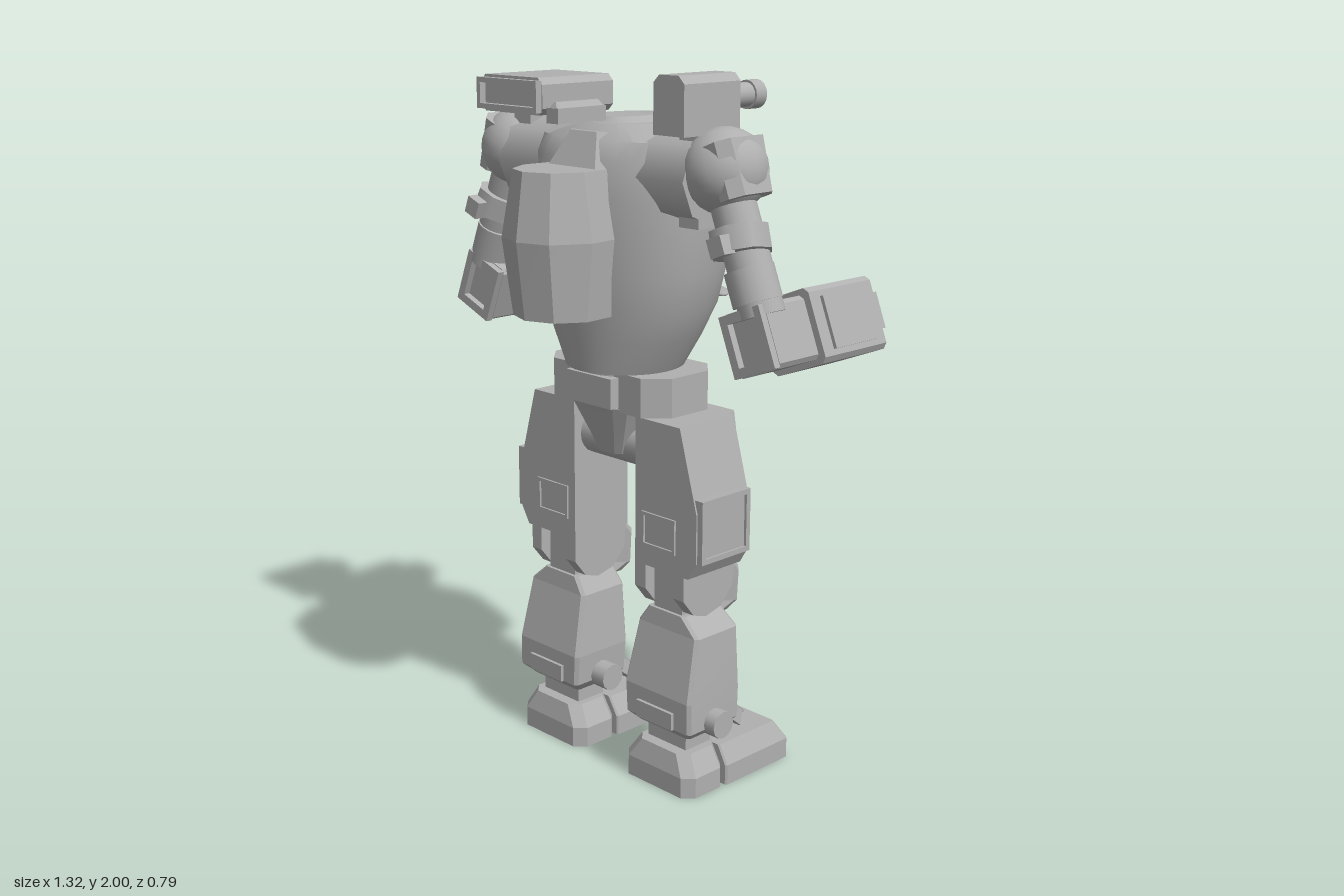
import * as THREE from 'three';
import { toCreasedNormals } from 'three/addons/utils/BufferGeometryUtils.js';

const armour = new THREE.MeshStandardMaterial({ color: 0xb0b0b0 });
armour.name = 'grey armour';

function add(parent, name, geometry, x = 0, y = 0, z = 0) {
  const mesh = new THREE.Mesh(geometry, armour);
  mesh.name = name;
  mesh.position.set(x, y, z);
  parent.add(mesh);
  return mesh;
}
function group(parent, name) {
  const g = new THREE.Group();
  g.name = name;
  parent.add(g);
  return g;
}

// Closed solid through horizontal rings (bottom to top, counterclockwise from above)
function loft(rings, crease = 0.1) {
  const p = [], n = rings[0].length;
  const tri = (a, b, c) => p.push(...a, ...b, ...c);
  for (let i = 0; i < rings.length - 1; i++) {
    for (let j = 0; j < n; j++) {
      const k = (j + 1) % n, lo = rings[i], hi = rings[i + 1];
      tri(lo[j], lo[k], hi[k]);
      tri(lo[j], hi[k], hi[j]);
    }
  }
  const bottom = rings[0], top = rings[rings.length - 1];
  for (let j = 1; j < n - 1; j++) {
    tri(bottom[0], bottom[j + 1], bottom[j]);
    tri(top[0], top[j], top[j + 1]);
  }
  const g = new THREE.BufferGeometry();
  g.setAttribute('position', new THREE.Float32BufferAttribute(p, 3));
  return toCreasedNormals(g, crease);
}
// Rectangular ring with cut corners
const rect = (y, x0, x1, z0, z1, c = 0.005) => [
  [x1, z1 - c], [x1, z0 + c], [x1 - c, z0], [x0 + c, z0],
  [x0, z0 + c], [x0, z1 - c], [x0 + c, z1], [x1 - c, z1],
].map(([x, z]) => [x, y, z]);
// Oval ring with separate front and back depth
const oval = (y, w, zf, zb, n = 40) => Array.from({ length: n }, (_, i) => {
  const a = (i / n) * Math.PI * 2, s = Math.sin(a);
  return [w * Math.cos(a), y, s > 0 ? zf * s : -zb * s];
});

// Profile in x,y extruded along z
function prismZ(points, z0, z1) {
  const shape = new THREE.Shape(points.map(([x, y]) => new THREE.Vector2(x, y)));
  return new THREE.ExtrudeGeometry(shape, { depth: z1 - z0, bevelEnabled: false }).translate(0, 0, z0);
}
// Profile in z,y extruded along x
const prismX = (points, x0, x1) => prismZ(points, 0, x1 - x0).rotateY(-Math.PI / 2).translate(x1, 0, 0);
const box = (w, h, d) => new THREE.BoxGeometry(w, h, d);
const cylX = (r, len, n = 20) => new THREE.CylinderGeometry(r, r, len, n).rotateZ(Math.PI / 2);
const cylZ = (r, len, n = 16) => new THREE.CylinderGeometry(r, r, len, n).rotateX(Math.PI / 2);
// Rectangular rim facing +z
function rim(w, h, t, depth) {
  const loop = (a, b) => [[-a, -b], [a, -b], [a, b], [-a, b]].map(([x, y]) => new THREE.Vector2(x, y));
  const shape = new THREE.Shape(loop(w / 2, h / 2));
  shape.holes.push(new THREE.Path(loop(w / 2 - t, h / 2 - t).reverse()));
  return new THREE.ExtrudeGeometry(shape, { depth, bevelEnabled: false });
}

// Copy of a group reflected across x = 0
function mirror(source, name) {
  const copy = source.clone(true);
  copy.name = name;
  copy.traverse((o) => {
    o.position.x *= -1;
    o.rotation.set(o.rotation.x, -o.rotation.y, -o.rotation.z);
    if (!o.isMesh) return;
    const src = o.geometry.index ? o.geometry.toNonIndexed() : o.geometry;
    const g = new THREE.BufferGeometry();
    for (const key of ['position', 'normal']) {
      const a = src.getAttribute(key), out = [];
      for (let i = 0; i < a.count; i += 3) {
        for (const k of [i, i + 2, i + 1]) out.push(-a.getX(k), a.getY(k), a.getZ(k));
      }
      g.setAttribute(key, new THREE.Float32BufferAttribute(out, 3));
    }
    o.geometry = g;
  });
  return copy;
}

function buildTorso(root) {
  const t = group(root, 'torso');
  add(t, 'hull', loft([
    oval(1.19, 0.165, -0.17, 0.165), oval(1.28, 0.215, -0.22, 0.18), oval(1.37, 0.257, -0.26, 0.19),
    oval(1.47, 0.278, -0.285, 0.2), oval(1.57, 0.29, -0.295, 0.2), oval(1.67, 0.297, -0.265, 0.2),
    oval(1.77, 0.295, -0.215, 0.185), oval(1.82, 0.28, -0.175, 0.16), oval(1.86, 0.16, -0.12, 0.11),
  ], 0.6));
  // Nose wedge, brow, top hatch and aerial
  add(t, 'nosePanel', loft([
    rect(1.31, -0.06, 0.06, -0.25, -0.1, 0.01), rect(1.42, -0.07, 0.07, -0.293, -0.1, 0.02),
    rect(1.57, -0.09, 0.09, -0.318, -0.1, 0.045), rect(1.76, -0.095, 0.095, -0.235, -0.1, 0.02),
  ]));
  add(t, 'brow', loft([rect(1.74, -0.1, 0.1, -0.24, -0.1), rect(1.785, -0.095, 0.095, -0.215, -0.1)]));
  add(t, 'topHatch', loft([oval(1.855, 0.12, -0.17, 0.1), oval(1.875, 0.075, -0.12, 0.08)], 0.4));
  add(t, 'aerial', box(0.045, 0.04, 0.17), 0, 1.885, 0.175);
  add(t, 'aerialRidge', loft([rect(1.9, -0.022, 0.022, 0.09, 0.26), rect(1.92, -0.008, 0.008, 0.1, 0.25)]));
  // Rear pack with a bulging middle
  const pack = (y, k, back) => [
    [0.14 * k, 0.15], [-0.14 * k, 0.15], [-0.15 * k, 0.26], [-0.095 * k, back - 0.03],
    [0, back], [0.095 * k, back - 0.03], [0.15 * k, 0.26],
  ].map(([x, z]) => [x, y, z]);
  add(t, 'backPack', loft([pack(1.36, 0.86, 0.365), pack(1.57, 1, 0.39), pack(1.75, 0.8, 0.365)]));
  add(t, 'packHatch', loft([rect(1.74, -0.115, 0.115, 0.1, 0.2, 0.02), rect(1.84, -0.07, 0.07, 0.08, 0.15, 0.02)]));
  // Cooling gills either side of the nose
  const gills = group(t, 'leftGills');
  [[1.55, 0.15], [1.465, 0.146], [1.38, 0.138]].forEach(([y, x]) => {
    add(gills, 'gill', new THREE.SphereGeometry(1, 16, 8).scale(0.068, 0.01, 0.028), x, y, -1.68 * x).rotation.y = -0.61;
  });
  t.add(mirror(gills, 'rightGills'));
}

function buildHips(root) {
  const h = group(root, 'hips');
  add(h, 'waist', new THREE.CylinderGeometry(0.14, 0.14, 0.06, 24), 0, 1.18, -0.01);
  add(h, 'belt', loft([rect(1.08, -0.235, 0.235, -0.15, 0.11, 0.06), rect(1.19, -0.235, 0.235, -0.15, 0.11, 0.06)]));
  for (const z of [0.115, -0.155]) add(h, 'buckle', box(0.18, 0.085, 0.05), 0, 1.135, z);
  add(h, 'pelvis', loft([
    rect(0.94, -0.045, 0.045, -0.11, 0.07, 0.015), rect(1.0, -0.07, 0.07, -0.16, 0.09, 0.02),
    rect(1.09, -0.11, 0.11, -0.18, 0.125, 0.03),
  ]));
  add(h, 'hipAxle', cylX(0.065, 0.3), 0, 0.965, -0.01);
}

function buildArm(root) {
  const side = group(root, 'leftArm');
  add(side, 'shoulderMount', cylX(0.125, 0.17, 8), 0.275, 1.735, 0.02);
  add(side, 'shoulderBlock', box(0.07, 0.25, 0.13), 0.325, 1.735, 0.02);
  const arm = group(side, 'hangingArm');
  arm.position.set(0.4, 1.76, 0.03);
  arm.rotation.z = 0.38;
  add(arm, 'shoulderBall', new THREE.SphereGeometry(0.112, 20, 14));
  add(arm, 'shoulderCap', loft([rect(-0.085, 0, 0.09, -0.08, 0.08, 0.03), rect(0.06, 0, 0.1, -0.09, 0.09, 0.03)]));
  add(arm, 'upperArm', new THREE.CylinderGeometry(0.06, 0.06, 0.36, 20), 0, -0.2, 0.005);
  add(arm, 'cuff', new THREE.CylinderGeometry(0.082, 0.082, 0.065, 8).rotateY(Math.PI / 8), 0, -0.185, 0.015).rotation.x = -0.15;
  add(arm, 'cuffKnob', box(0.05, 0.05, 0.04), 0.01, -0.19, 0.1);
  add(arm, 'lowerSleeve', new THREE.CylinderGeometry(0.066, 0.066, 0.09, 20), -0.005, -0.3, 0.005);
  // Forearm pointing forward
  const f = group(arm, 'forearm');
  f.position.set(-0.028, -0.436, -0.03);
  const section = (w, h, c) => [
    [-w, -h + c], [-w + c, -h], [w - c, -h], [w, -h + c], [w, h - c], [w - c, h], [-w + c, h], [-w, h - c],
  ];
  add(f, 'forearmHousing', prismZ(section(0.094, 0.1, 0.014), -0.33, -0.08));
  add(f, 'elbowHousing', prismZ(section(0.074, 0.085, 0.012), -0.08, 0.07));
  add(f, 'elbowRim', rim(0.145, 0.165, 0.025, 0.02), 0, 0, 0.07);
  add(f, 'sidePlate', box(0.016, 0.14, 0.17), 0.096, 0, -0.205);
  add(f, 'muzzleRim', rim(0.15, 0.16, 0.016, 0.012), 0, 0, -0.34);
  add(f, 'muzzleBlock', box(0.11, 0.08, 0.05), 0, 0, -0.35);
  for (const x of [-0.035, 0, 0.035]) add(f, 'muzzleFinger', box(0.026, 0.1, 0.06), x, 0.005, -0.37);
  root.add(mirror(side, 'rightArm'));
}

function buildLeg(root) {
  const leg = group(root, 'leftLeg');
  // Thigh
  add(leg, 'thigh', prismZ([[0.125, 0.65], [0.33, 0.65], [0.36, 0.7], [0.36, 0.84], [0.295, 1.07], [0.125, 1.07]], -0.13, 0.08));
  add(leg, 'thighFrontPlate', loft([
    rect(0.66, 0.15, 0.3, -0.165, -0.12, 0.015), rect(0.84, 0.15, 0.32, -0.165, -0.12, 0.015),
    rect(1.07, 0.15, 0.28, -0.165, -0.12, 0.015),
  ]));
  add(leg, 'thighSidePlate', box(0.02, 0.18, 0.19), 0.36, 0.79, -0.02);
  add(leg, 'thighSideRim', rim(0.19, 0.18, 0.015, 0.01).rotateY(Math.PI / 2), 0.368, 0.79, -0.02);
  add(leg, 'thighRearRim', rim(0.13, 0.1, 0.01, 0.006), 0.218, 0.757, 0.08);
  // Knee fork, joint and pad
  const fork = [[0.08, 0.66], [0.08, 0.58], [0.04, 0.53], [-0.01, 0.515], [-0.07, 0.53], [-0.115, 0.58], [-0.125, 0.66]];
  for (const [a, b] of [[0.125, 0.167], [0.275, 0.315]]) add(leg, 'kneeFork', prismX(fork, a, b));
  add(leg, 'kneeLink', box(0.108, 0.17, 0.13), 0.221, 0.555, -0.02);
  add(leg, 'kneePin', cylX(0.05, 0.17), 0.22, 0.585, -0.02);
  add(leg, 'kneePadArm', box(0.06, 0.07, 0.1), 0.22, 0.56, -0.11);
  add(leg, 'kneePad', loft([
    rect(0.48, 0.18, 0.26, -0.17, -0.11, 0.015), rect(0.51, 0.16, 0.28, -0.205, -0.13, 0.03),
    rect(0.6, 0.155, 0.285, -0.21, -0.14, 0.035), rect(0.635, 0.175, 0.265, -0.18, -0.14, 0.02),
  ]));
  // Shin
  add(leg, 'shin', loft([
    rect(0.17, 0.13, 0.33, -0.09, 0.07, 0.01), rect(0.2, 0.105, 0.36, -0.105, 0.1, 0.01),
    rect(0.29, 0.1, 0.36, -0.108, 0.1, 0.01), rect(0.47, 0.115, 0.348, -0.108, 0.06, 0.01),
    rect(0.52, 0.15, 0.29, -0.1, 0.055, 0.01),
  ]));
  add(leg, 'shinFrontRim', rim(0.16, 0.19, 0.016, 0.012), 0.23, 0.35, -0.118);
  add(leg, 'anklePin', cylX(0.04, 0.345, 12), 0.225, 0.215, 0);
  add(leg, 'heelGuard', box(0.14, 0.05, 0.02), 0.23, 0.225, 0.1);
  // Ankle and foot
  add(leg, 'ankle', box(0.15, 0.1, 0.1), 0.225, 0.15, 0);
  const flap = group(leg, 'toeGuard');
  flap.position.set(0.225, 0.168, -0.155);
  flap.rotation.x = -0.7;
  add(flap, 'guardPlate', loft([rect(-0.02, -0.08, 0.08, -0.06, 0.06, 0.02), rect(0.02, -0.07, 0.07, -0.05, 0.05, 0.02)]));
  add(flap, 'guardRim', rim(0.13, 0.09, 0.012, 0.008).rotateX(-Math.PI / 2), 0, 0.018, 0);
  add(flap, 'guardArm', box(0.06, 0.025, 0.1), 0, -0.005, 0.06);
  add(leg, 'toe', loft([
    rect(0, 0.085, 0.365, -0.315, -0.05), rect(0.06, 0.085, 0.365, -0.315, -0.05), rect(0.115, 0.12, 0.335, -0.285, -0.05),
  ]));
  add(leg, 'heel', loft([
    rect(0, 0.09, 0.36, -0.06, 0.1, 0.03), rect(0.06, 0.09, 0.36, -0.06, 0.1, 0.03), rect(0.12, 0.13, 0.325, -0.06, 0.085, 0.03),
  ]));
  root.add(mirror(leg, 'rightLeg'));
}

function buildShoulderWeapons(root) {
  // Wide launcher on the right shoulder
  const l = group(root, 'launcher');
  const c = 0.018, w = 0.128, h = 0.05;
  add(l, 'launcherCase', prismZ([
    [-w, -h + c], [-w + c, -h], [w - c, -h], [w, -h + c], [w, h - c], [w - c, h], [-w + c, h], [-w, h - c],
  ], -0.09, 0.17), -0.27, 1.92, 0);
  add(l, 'launcherRim', rim(0.25, 0.085, 0.014, 0.02), -0.27, 1.92, 0.17);
  add(l, 'launcherMount', box(0.07, 0.14, 0.12), -0.325, 1.82, 0.02);
  add(l, 'launcherRearBlock', box(0.08, 0.05, 0.04), -0.32, 1.91, -0.11);
  // Narrow cannon on the left shoulder
  const g = group(root, 'cannon');
  add(g, 'cannonCase', prismZ([
    [0.27, 1.85], [0.378, 1.85], [0.378, 1.98], [0.358, 2], [0.29, 2], [0.27, 1.98],
  ], -0.045, 0.16));
  add(g, 'cannonMount', box(0.07, 0.1, 0.1), 0.325, 1.83, 0.03);
  add(g, 'barrel', cylZ(0.032, 0.1), 0.32, 1.937, -0.09);
  add(g, 'muzzle', cylZ(0.038, 0.04), 0.32, 1.937, -0.15);
}

export function createModel() {
  const root = new THREE.Group();
  root.name = 'walkingMachine';
  buildTorso(root);
  buildHips(root);
  buildArm(root);
  buildLeg(root);
  buildShoulderWeapons(root);
  return root;
}
